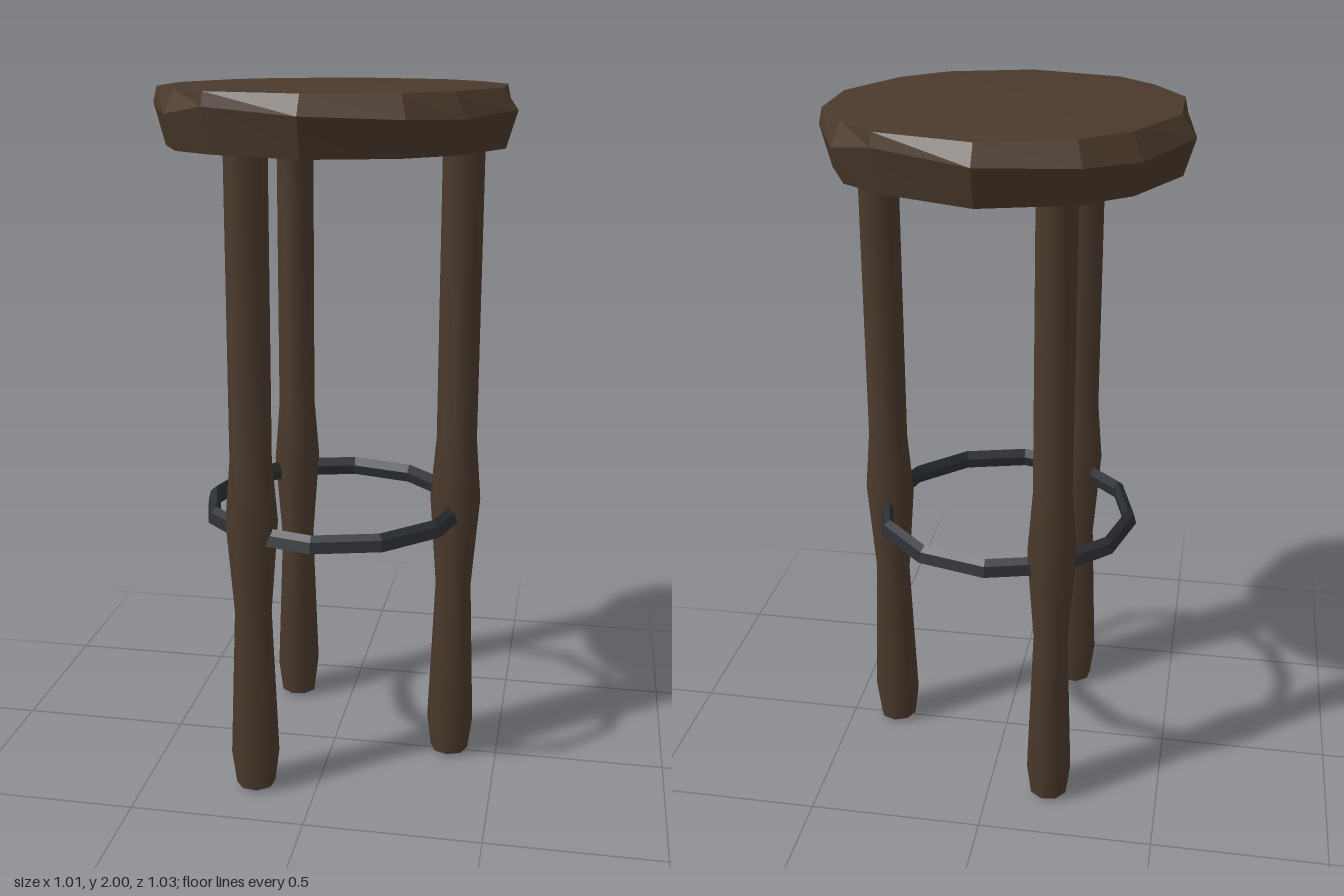
import * as THREE from 'three';
import { toCreasedNormals } from 'three/addons/utils/BufferGeometryUtils.js';

const wood = new THREE.MeshStandardMaterial({ name: 'dark wood', color: 0x4b3a2c });
const iron = new THREE.MeshStandardMaterial({ name: 'dark iron', color: 0x2b2e32 });

// Solid from stacked rings of points, closed to a centre point at both ends
function loftRings(rings, bottomY, topY) {
  const pos = [];
  const n = rings[0].length;
  const tri = (...pts) => pts.forEach((p) => pos.push(...p));
  for (let i = 0; i < n; i++) {
    const j = (i + 1) % n;
    tri([0, bottomY, 0], rings[0][i], rings[0][j]);
    for (let k = 0; k + 1 < rings.length; k++) {
      const a = rings[k], b = rings[k + 1];
      tri(a[i], b[i], b[j]);
      tri(a[i], b[j], a[j]);
    }
    const top = rings[rings.length - 1];
    tri([0, topY, 0], top[j], top[i]);
  }
  const g = new THREE.BufferGeometry();
  g.setAttribute('position', new THREE.Float32BufferAttribute(pos, 3));
  g.computeVertexNormals();
  return g;
}

// Rough-hewn seat: half of the rim as x, z, rim height, top inset; the rest is a half turn of it
function seatGeometry() {
  const half = [
    [0.505, 0.09, 1.93, 0.92], [0.39, 0.325, 1.92, 0.92], [0.255, 0.44, 1.925, 0.93],
    [0, 0.515, 1.935, 0.93], [-0.265, 0.415, 1.95, 0.985], [-0.39, 0.325, 1.925, 0.94],
    [-0.47, 0.15, 1.945, 0.98],
  ];
  const rim = [...half, ...half.map(([x, z, y, s]) => [-x, -z, y, s])];
  const bottom = rim.map(([x, z]) => [x * 0.94, 1.83, z * 0.94]);
  const middle = rim.map(([x, z, y]) => [x, y, z]);
  const top = rim.map(([x, z, , s]) => [x * s, 1.987, z * s]);
  return toCreasedNormals(loftRings([bottom, middle, top], 1.83, 2.0), 0.2);
}

// Carved leg with a bulge at the foot ring and a flared foot
function legGeometry() {
  const profile = [
    [0, 0], [0.056, 0.01], [0.069, 0.11], [0.052, 0.55],
    [0.073, 0.82], [0.058, 1.0], [0.058, 1.84],
  ].map(([r, y]) => new THREE.Vector2(r, y));
  return toCreasedNormals(new THREE.LatheGeometry(profile, 8), 0.8);
}

// Faceted iron foot ring
function footRingGeometry() {
  const profile = [
    [0.355, 0.755], [0.388, 0.765], [0.38, 0.795], [0.362, 0.81], [0.35, 0.785], [0.355, 0.755],
  ].map(([r, y]) => new THREE.Vector2(r, y));
  return toCreasedNormals(new THREE.LatheGeometry(profile, 12), 0.2);
}

export function createModel() {
  const stool = new THREE.Group();
  stool.name = 'stool';
  const add = (name, geometry, material) => {
    const mesh = new THREE.Mesh(geometry, material);
    mesh.name = name;
    stool.add(mesh);
    return mesh;
  };

  add('seat', seatGeometry(), wood);
  add('footRing', footRingGeometry(), iron);

  // Three legs, evenly spaced
  const leg = legGeometry();
  ['leftLeg', 'backRightLeg', 'frontRightLeg'].forEach((name, i) => {
    const a = (i * Math.PI * 2) / 3;
    const mesh = add(name, leg, wood);
    mesh.position.set(0.357 * Math.cos(a), 0, -0.357 * Math.sin(a));
    mesh.rotation.y = a;
  });
  return stool;
}
